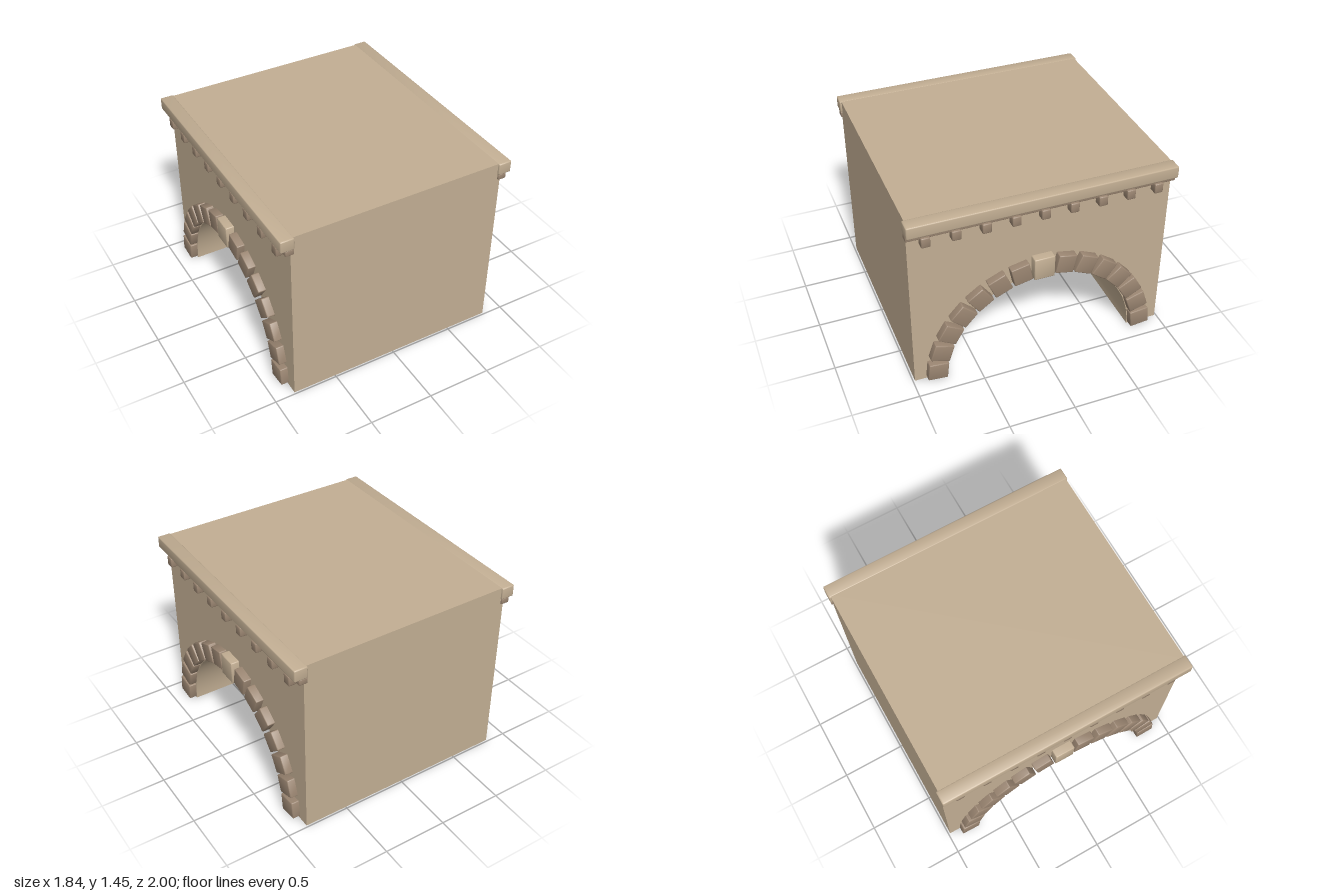
import * as THREE from 'three';
import { toCreasedNormals } from 'three/addons/utils/BufferGeometryUtils.js';
import { RoundedBoxGeometry } from 'three/addons/geometries/RoundedBoxGeometry.js';

const wallStone = new THREE.MeshStandardMaterial({ name: 'wall stone', color: 0xc2ae93 });
const darkStone = new THREE.MeshStandardMaterial({ name: 'dark stone', color: 0x9a8571 });

export function createModel() {
  const model = new THREE.Group();
  model.name = 'archedBridge';

  // Solid block with a semicircular tunnel, extruded along x
  const halfWidth = 0.84, halfLength = 0.985, height = 1.45, archRadius = 0.74;
  const profile = new THREE.Shape();
  profile.moveTo(-halfLength, 0);
  profile.lineTo(-archRadius, 0);
  profile.absarc(0, 0, archRadius, Math.PI, 0, true);
  profile.lineTo(halfLength, 0);
  profile.lineTo(halfLength, height);
  profile.lineTo(-halfLength, height);
  profile.closePath();
  const blockGeometry = new THREE.ExtrudeGeometry(profile, {
    depth: halfWidth * 2, bevelEnabled: false, curveSegments: 32,
  });
  blockGeometry.translate(0, 0, -halfWidth).rotateY(Math.PI / 2);
  const block = new THREE.Mesh(toCreasedNormals(blockGeometry, 0.5), wallStone);
  block.name = 'tunnelBlock';
  model.add(block);

  const addStone = (parent, name, size, position, material, radius = 0.008) => {
    const geometry = toCreasedNormals(new RoundedBoxGeometry(...size, 2, radius), 0.6);
    const mesh = new THREE.Mesh(geometry, material);
    mesh.name = name;
    mesh.position.set(...position);
    parent.add(mesh);
    return mesh;
  };

  // Matching decoration on both open faces
  for (const side of [-1, 1]) {
    const face = new THREE.Group();
    face.name = side > 0 ? 'leftFace' : 'rightFace';
    model.add(face);

    // Cornice and the thin course below it
    addStone(face, 'cornice', [0.105, 0.094, 2], [side * 0.866, 1.405, 0], wallStone, 0.01);
    addStone(face, 'corniceCourse', [0.065, 0.045, 1.995], [side * 0.85, 1.338, 0], darkStone, 0.006);

    // Row of small brackets
    for (let i = -4; i <= 4; i++) {
      addStone(face, 'bracket', [0.09, 0.078, 0.066], [side * 0.857, 1.289, i * 0.216], darkStone);
    }

    // Ring of arch stones with a gap for the keystone
    for (let i = 0; i < 15; i++) {
      if (i === 7) continue;
      const angle = THREE.MathUtils.degToRad(6 + i * 12);
      const stone = addStone(face, 'archStone', [0.12, 0.15, 0.142],
        [side * 0.84, Math.sin(angle) * 0.82, Math.cos(angle) * 0.82], darkStone);
      stone.rotation.x = Math.PI / 2 - angle;
    }
    addStone(face, 'keystone', [0.13, 0.18, 0.158], [side * 0.84, 0.82, 0], wallStone);
  }
  return model;
}
